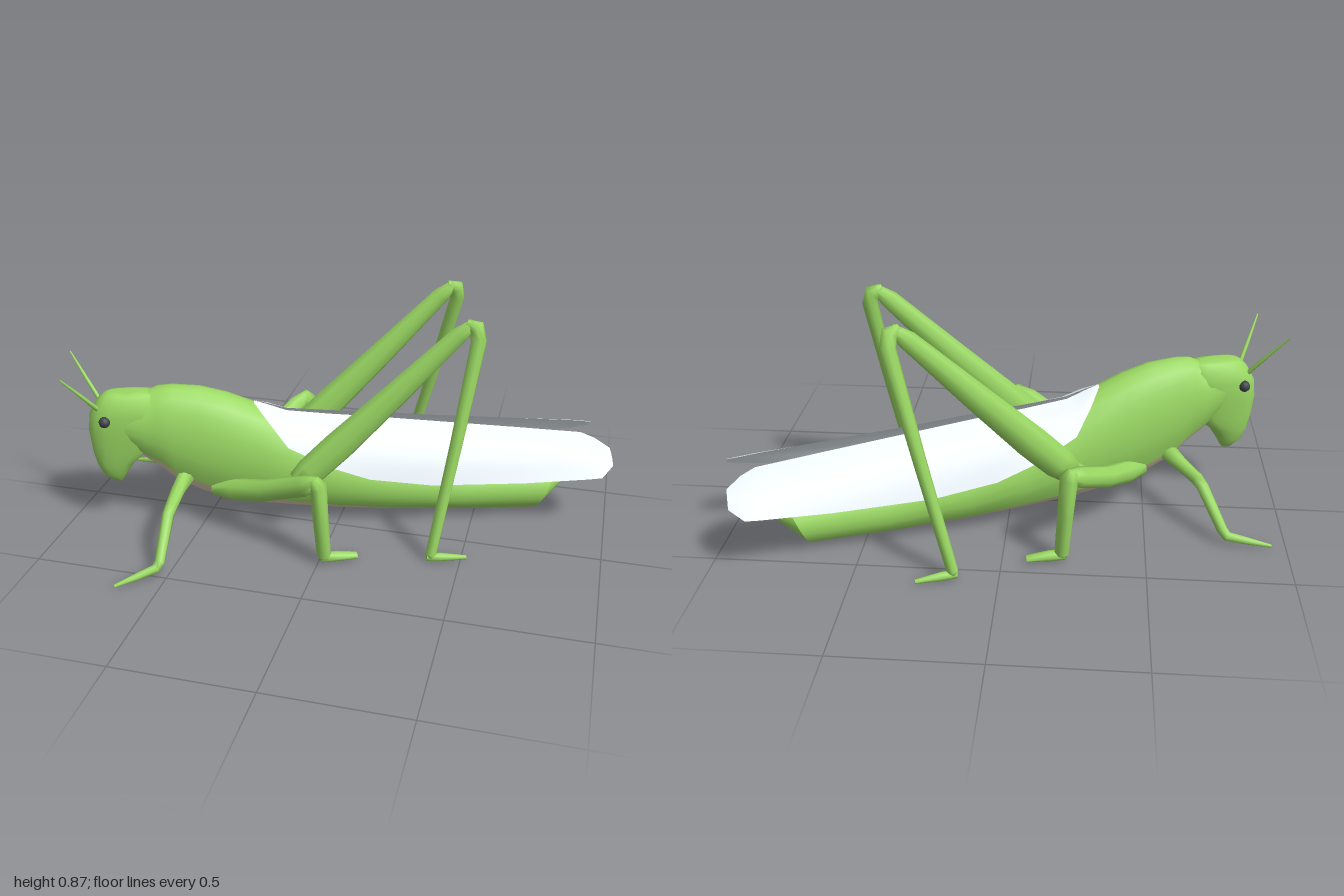
import * as THREE from 'three';

const mat = (color, side = THREE.FrontSide) => {
  const m = new THREE.MeshStandardMaterial({ side });
  m.color.set(color);
  return m;
};
const green = mat(0x9bd963), tan = mat(0xe2d0b4), dark = mat(0x40444a);
const wingMat = mat(0xeef7fd, THREE.DoubleSide);
const V = (x, y, z) => new THREE.Vector3(x, y, z);

// Skin a list of cross-sections (counter-clockwise about the travel direction).
function loft(rings, closed = true) {
  const n = rings[0].length, pos = [], idx = [];
  rings.forEach(r => r.forEach(p => pos.push(p.x, p.y, p.z)));
  for (let i = 0; i < rings.length - 1; i++) {
    for (let j = 0; j < (closed ? n : n - 1); j++) {
      const a = i * n + j, b = i * n + (j + 1) % n;
      idx.push(a, b, a + n, b, b + n, a + n);
    }
  }
  if (closed) {
    for (let j = 1; j < n - 1; j++) {
      const e = (rings.length - 1) * n;
      idx.push(0, j + 1, j, e, e + j, e + j + 1);
    }
  }
  const g = new THREE.BufferGeometry();
  g.setAttribute('position', new THREE.Float32BufferAttribute(pos, 3));
  g.setIndex(idx);
  g.computeVertexNormals();
  return g;
}

// Jointed limb through points [x, y, z, radius, sideways scale], mirrored by side.
function limbGeometry(points, side, sides = 8) {
  const p = points.map(q => V(q[0], q[1], q[2] * side));
  const rings = p.map((c, i) => {
    const t = V(0, 0, 0);
    if (i > 0) t.add(c.clone().sub(p[i - 1]).normalize());
    if (i < p.length - 1) t.add(p[i + 1].clone().sub(c).normalize());
    t.normalize();
    const s = V(0, 0, 1).addScaledVector(t, -t.z).normalize();
    const k = t.clone().cross(s);
    const [, , , r, wide = 1] = points[i];
    return Array.from({ length: sides }, (_, j) => {
      const a = j / sides * Math.PI * 2;
      return c.clone().addScaledVector(s, r * wide * Math.cos(a)).addScaledVector(k, r * Math.sin(a));
    });
  });
  return loft(rings);
}

// Body sections: position along body, top, bottom, half width, slant
const BODY = [
  [-0.78, 0.535, 0.34, 0.074, 0], [-0.70, 0.544, 0.268, 0.083, 0], [-0.655, 0.566, 0.235, 0.09, 0],
  [-0.60, 0.57, 0.18, 0.098, 0], [-0.50, 0.56, 0.125, 0.107, 0], [-0.40, 0.53, 0.09, 0.115, 0],
  [-0.27, 0.472, 0.065, 0.12, 0], [-0.15, 0.405, 0.05, 0.122, 0], [0, 0.335, 0.038, 0.124, 0],
  [0.20, 0.27, 0.025, 0.124, 0], [0.50, 0.215, 0.012, 0.118, 0.15],
  [0.81, 0.19, 0.005, 0.106, 0.44], [0.81, 0.19, 0.005, 0.106, 0.44], [0.94, 0.151, 0.149, 0.004, 0],
];
function bodyStrip(a0, a1, n) {
  return loft(BODY.map(([u, top, bot, hw, slant]) => Array.from({ length: n + 1 }, (_, j) => {
    const a = THREE.MathUtils.degToRad(a0 + (a1 - a0) * j / n), h = (top - bot) / 2;
    const dy = h * Math.cos(a);
    return V(u + slant * dy, (top + bot) / 2 + dy, hw * Math.sin(a));
  })), false);
}

// Head sections: height, front, back, half width; corners slightly squared
const HEAD = [
  [0.185, -0.845, -0.805, 0.02], [0.22, -0.88, -0.785, 0.042], [0.265, -0.898, -0.755, 0.054],
  [0.32, -0.91, -0.69, 0.064], [0.40, -0.917, -0.66, 0.072], [0.47, -0.907, -0.64, 0.077],
  [0.52, -0.878, -0.64, 0.066], [0.545, -0.85, -0.66, 0.045], [0.551, -0.83, -0.70, 0.025],
];
function headGeometry() {
  const square = v => Math.sign(v) * Math.abs(v) ** 0.75;
  return loft(HEAD.map(([y, f, b, hw]) => Array.from({ length: 16 }, (_, j) => {
    const a = j / 16 * Math.PI * 2;
    return V((f + b) / 2 + (b - f) / 2 * square(Math.sin(a)), y, hw * square(Math.cos(a)));
  })));
}

// Wing stations: along, inner side, inner height, outer side, outer height
const WING = [
  [-0.30, 0, 0.495, 0.01, 0.488], [-0.25, 0.005, 0.48, 0.075, 0.44], [-0.18, 0.01, 0.455, 0.135, 0.36],
  [-0.02, 0.015, 0.437, 0.165, 0.285], [0.12, 0.02, 0.425, 0.172, 0.235], [0.35, 0.025, 0.40, 0.18, 0.205],
  [0.70, 0.04, 0.365, 0.196, 0.208], [0.94, 0.05, 0.34, 0.208, 0.221], [0.99, 0.07, 0.324, 0.211, 0.226],
  [1.04, 0.11, 0.3, 0.172, 0.255],
];
function wingGeometry(side) {
  const rings = WING.map(([u, wi, yi, wo, yo]) => {
    const r = Array.from({ length: 6 }, (_, j) => {
      const t = j / 5, bulge = 0.1 * (yi - yo) * Math.sin(Math.PI * t);
      return V(u, yi + (yo - yi) * t + bulge, side * (wi + (wo - wi) * t + bulge));
    });
    return side > 0 ? r : r.reverse();
  });
  return loft(rings, false);
}

// Limbs for the left and right side
const LIMBS = {
  hindHip: [[-0.22, 0.2, 0.08, 0.04], [-0.15, 0.23, 0.14, 0.035], [-0.09, 0.29, 0.185, 0.03]],
  hindThigh: [[-0.145, 0.25, 0.188, 0.045, 0.65], [-0.1, 0.292, 0.188, 0.058, 0.62], [0, 0.39, 0.19, 0.06, 0.62],
    [0.2, 0.59, 0.194, 0.048, 0.65], [0.42, 0.815, 0.2, 0.033, 0.75], [0.472, 0.86, 0.202, 0.018]],
  hindShin: [[0.445, 0.862, 0.2, 0.013], [0.478, 0.845, 0.205, 0.03], [0.488, 0.8, 0.219, 0.028],
    [0.412, 0.43, 0.293, 0.023], [0.325, 0.03, 0.374, 0.02], [0.322, 0.014, 0.377, 0.014]],
  hindFoot: [[0.31, 0.018, 0.377, 0.014], [0.36, 0.018, 0.378, 0.016], [0.455, 0.012, 0.379, 0.008]],
  middleThigh: [[-0.46, 0.165, 0.07, 0.025], [-0.38, 0.183, 0.115, 0.042], [-0.27, 0.222, 0.2, 0.04],
    [-0.13, 0.31, 0.33, 0.038], [-0.085, 0.337, 0.362, 0.024]],
  middleShin: [[-0.1, 0.352, 0.357, 0.018], [-0.084, 0.325, 0.36, 0.032, 1.4], [-0.075, 0.18, 0.358, 0.028, 1.35],
    [-0.065, 0.035, 0.357, 0.026, 1.2], [-0.064, 0.018, 0.357, 0.017]],
  middleFoot: [[-0.075, 0.025, 0.358, 0.018, 1.2], [-0.02, 0.023, 0.351, 0.018, 1.2], [0.057, 0.016, 0.34, 0.01, 1.8]],
  frontLeg: [[-0.56, 0.22, 0.05, 0.035], [-0.595, 0.19, 0.12, 0.026], [-0.616, 0.18, 0.225, 0.023],
    [-0.625, 0.165, 0.255, 0.022], [-0.655, 0.052, 0.385, 0.019], [-0.668, 0.036, 0.403, 0.018],
    [-0.73, 0.025, 0.43, 0.014], [-0.81, 0.012, 0.465, 0.006]],
  antenna: [[-0.86, 0.48, 0.03, 0.009], [-0.92, 0.573, 0.08, 0.007], [-0.976, 0.66, 0.131, 0.003]],
};

export function createModel() {
  const model = new THREE.Group();
  model.name = 'grasshopper';
  const insect = new THREE.Group();
  insect.name = 'insect';
  insect.rotation.y = 0.323;
  insect.position.set(-0.032, 0, -0.095);
  model.add(insect);

  const add = (name, geometry, material) => {
    const m = new THREE.Mesh(geometry, material);
    m.name = name;
    insect.add(m);
    return m;
  };

  // Trunk and head
  add('body', bodyStrip(-135, 135, 16), green);
  add('belly', bodyStrip(135, 225, 6), tan);
  add('head', headGeometry(), green);

  // Paired parts
  for (const [label, side] of [['left', 1], ['right', -1]]) {
    for (const [name, points] of Object.entries(LIMBS)) {
      add(`${label} ${name}`, limbGeometry(points, side), green);
    }
    add(`${label} wing`, wingGeometry(side), wingMat);
    add(`${label} eye`, new THREE.SphereGeometry(0.021, 10, 8), dark).position.set(-0.846, 0.46, side * 0.073);
  }
  return model;
}
